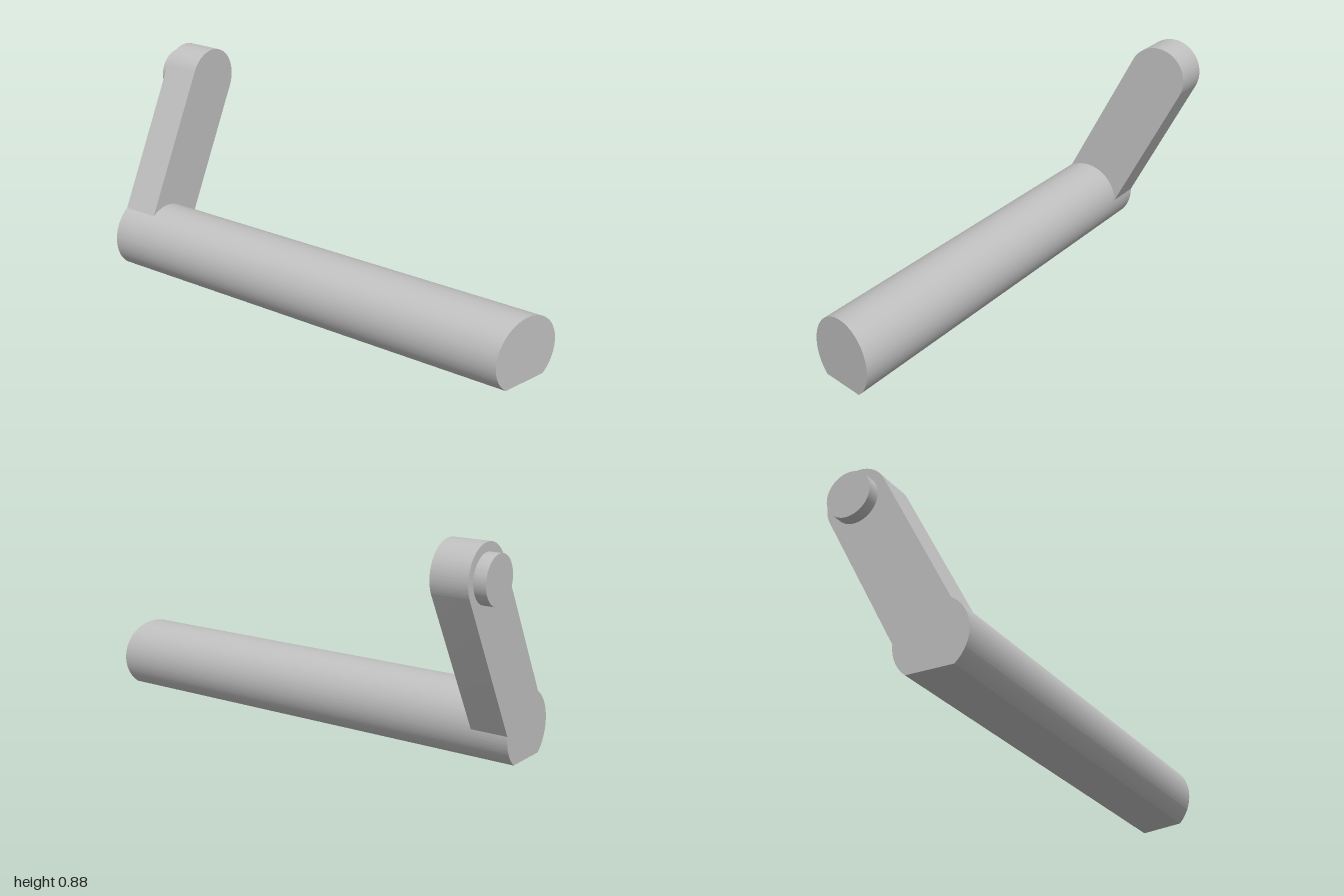
import * as THREE from 'three';
import { toCreasedNormals } from 'three/addons/utils/BufferGeometryUtils.js';

// Bar axis and arm tip in the side profile, as (-z, y)
const BAR = new THREE.Vector2(-0.16, 0.119), BAR_R = 0.153;
const TIP = new THREE.Vector2(0.18, 0.754), ARM_R = 0.131;

// Extrude a side profile along x between x0 and x1
function extrudeX(shape, x0, x1) {
  const geo = new THREE.ExtrudeGeometry(shape, { depth: x1 - x0, bevelEnabled: false, curveSegments: 64 });
  geo.rotateY(Math.PI / 2);
  geo.translate(x0, 0, 0);
  return geo;
}

export function createModel() {
  const group = new THREE.Group();
  const steel = new THREE.MeshStandardMaterial({ color: 0xc0c0c0 });
  steel.name = 'light grey';

  const add = (name, geo) => {
    const mesh = new THREE.Mesh(toCreasedNormals(geo, 0.5), steel);
    mesh.name = name;
    group.add(mesh);
  };

  // Round bar with a flat underside and a slanted free end
  const cut = Math.asin(BAR.y / BAR_R);
  const barShape = new THREE.Shape();
  barShape.absarc(BAR.x, BAR.y, BAR_R, -cut, Math.PI + cut, false);
  barShape.closePath();
  const barGeo = extrudeX(barShape, -0.95, 1);
  const p = barGeo.attributes.position;
  for (let i = 0; i < p.count; i++) {
    if (p.getX(i) > 0) p.setX(i, 1 - (p.getZ(i) - 0.007) * 0.265);
  }
  add('bar', barGeo);

  // Leaning arm with a rounded tip, rooted inside the bar
  const dir = TIP.clone().sub(BAR).normalize();
  const side = new THREE.Vector2(dir.y, -dir.x).multiplyScalar(ARM_R);
  const start = Math.atan2(side.y, side.x);
  const armShape = new THREE.Shape();
  armShape.moveTo(BAR.x - side.x, BAR.y - side.y);
  armShape.lineTo(BAR.x + side.x, BAR.y + side.y);
  armShape.absarc(TIP.x, TIP.y, ARM_R, start, start + Math.PI, false);
  armShape.closePath();
  add('arm', extrudeX(armShape, -0.95, -0.795));

  // Short pin on the outer face of the arm
  const pinGeo = new THREE.CylinderGeometry(0.095, 0.095, 0.06, 64);
  pinGeo.rotateZ(Math.PI / 2);
  pinGeo.translate(-0.97, TIP.y, -TIP.x - 0.002);
  add('pin', pinGeo);

  return group;
}
